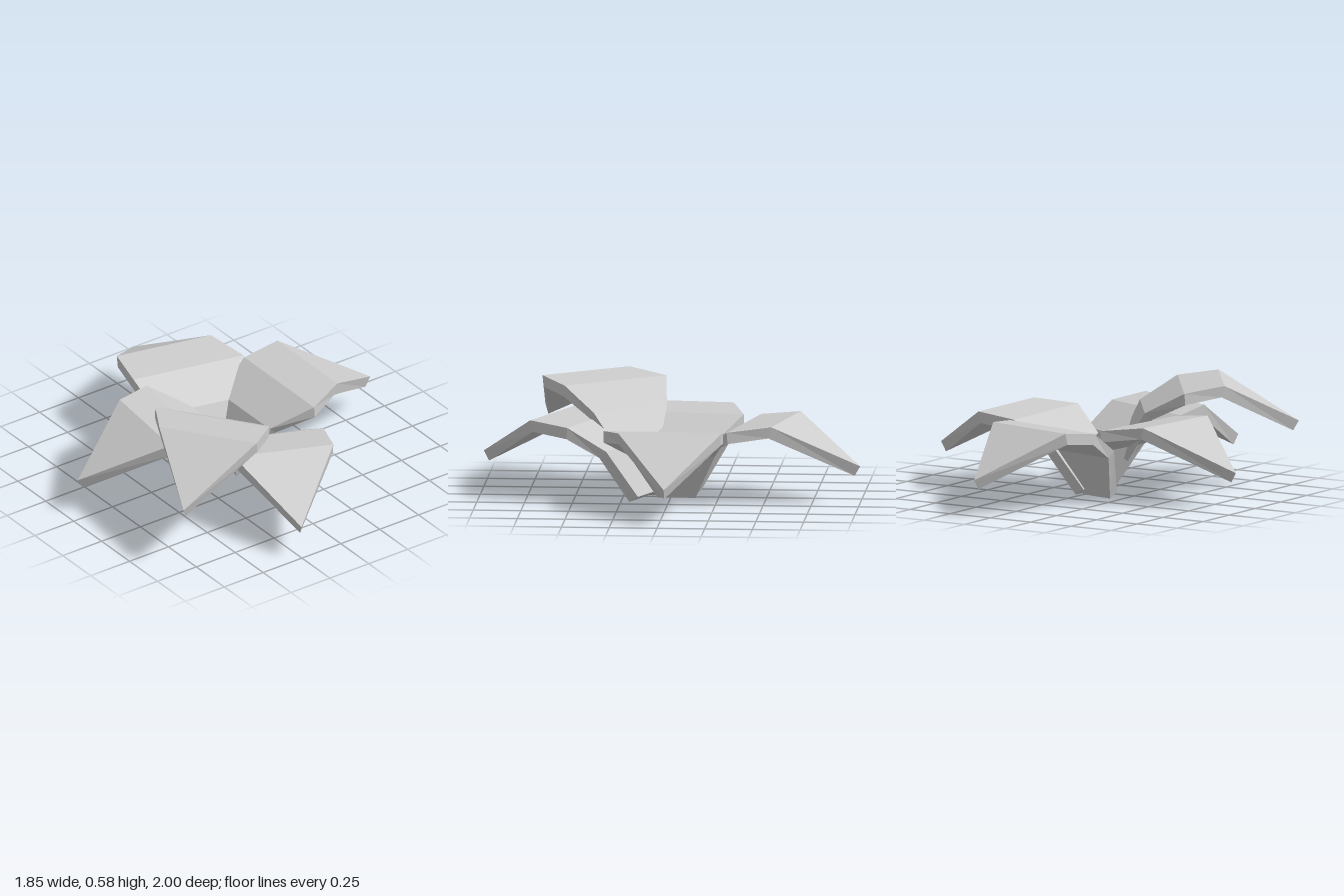
import * as THREE from 'three';

// Cross-sections of one petal from base to tip:
// top [r, y], underside [r, y], and the two edges [wMin, wMax]
const SECTIONS = [
  { top: [-0.02, 0.03], under: [0.03, 0], edges: [-0.1, 0.1] },
  { top: [0.11, 0.275], under: [0.15, 0.24], edges: [-0.21, 0.24] },
  { top: [0.31, 0.395], under: [0.315, 0.335], edges: [-0.265, 0.36] },
  { top: [0.525, 0.42], under: [0.51, 0.36], edges: [-0.268, 0.268] },
  { top: [0.93, 0.19], under: [0.9, 0.138], edges: [0, 0] },
];

// Thick folded petal: x runs outward, z across
function petalGeometry() {
  const rings = SECTIONS.map(({ top, under, edges: [a, b] }) => [
    new THREE.Vector3(...top, a),
    new THREE.Vector3(...top, b),
    new THREE.Vector3(...under, b),
    new THREE.Vector3(...under, a),
  ]);
  const points = [];
  const tri = (a, b, c) => {
    if (new THREE.Triangle(a, b, c).getArea() > 1e-7) points.push(a, b, c);
  };
  for (let i = 0; i < rings.length - 1; i++) {
    const a = rings[i], b = rings[i + 1];
    for (let k = 0; k < 4; k++) {
      const n = (k + 1) % 4;
      tri(a[k], a[n], b[n]);
      tri(a[k], b[n], b[k]);
    }
  }
  // base end
  const [p, q, r, s] = rings[0];
  tri(p, r, q);
  tri(p, s, r);
  const geometry = new THREE.BufferGeometry().setFromPoints(points);
  geometry.computeVertexNormals();
  return geometry;
}

export function createModel() {
  const group = new THREE.Group();
  group.name = 'flower';
  const geometry = petalGeometry();
  const material = new THREE.MeshStandardMaterial({ color: 0xcccccc, flatShading: true });

  // Each petal: name, base position, outward direction (x, z)
  const petals = [
    ['leftPetal', [0, 0, -0.03], [1, 0]],
    ['backPetal', [-0.1, 0, -0.09], [0.217, -0.976]],
    ['rightPetal', [0, 0, 0.03], [-0.994, -0.105]],
    ['frontPetal', [0.1, 0, 0.14], [-0.38, 0.925]],
    ['raisedPetal', [-0.058, 0.16, 0.173], [-0.809, 0.588]],
  ];
  for (const [name, position, [dx, dz]] of petals) {
    const petal = new THREE.Mesh(geometry, material);
    petal.name = name;
    petal.position.set(...position);
    petal.rotation.y = Math.atan2(-dz, dx);
    group.add(petal);
  }
  return group;
}
